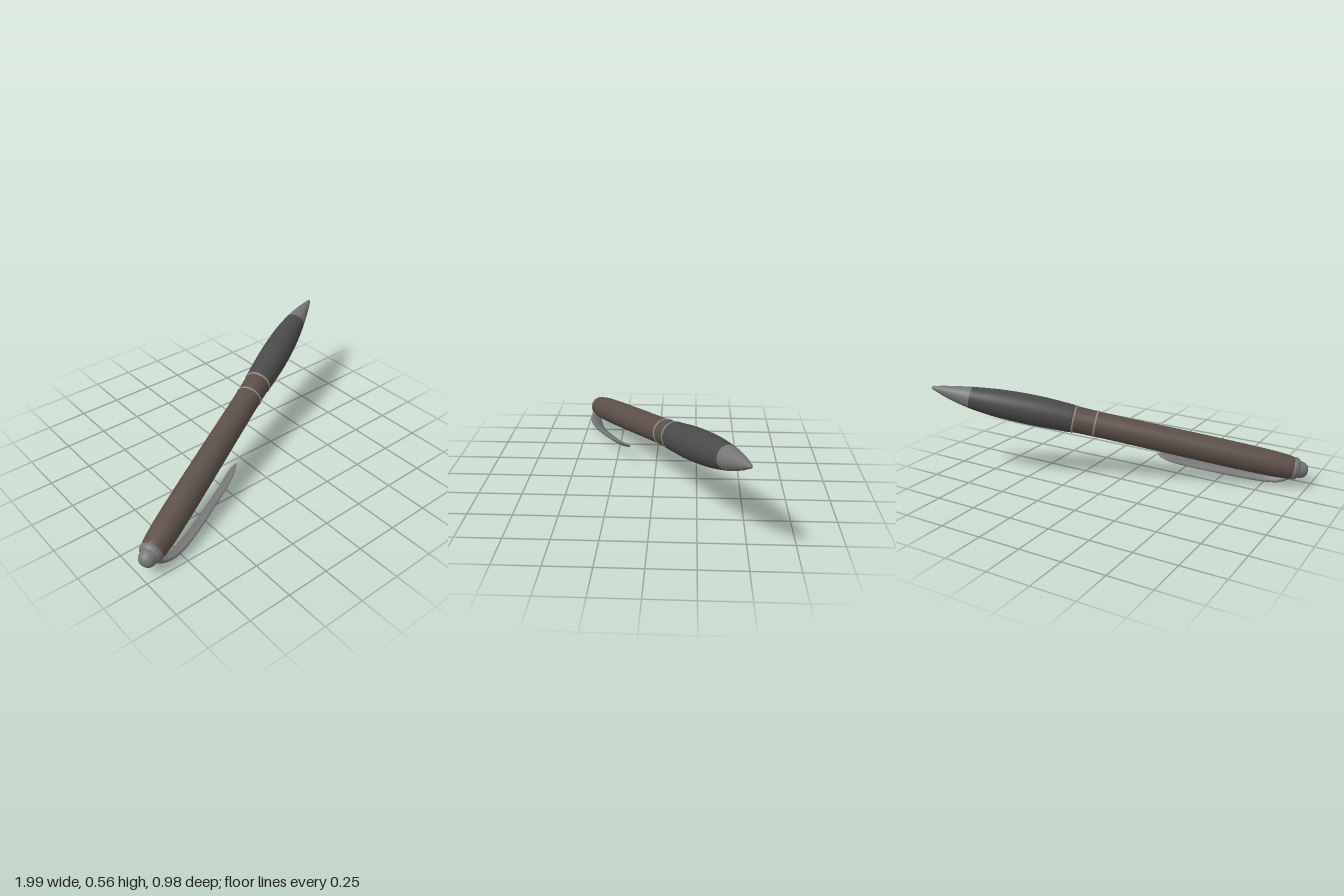
import * as THREE from 'three';
import { mergeVertices } from 'three/addons/utils/BufferGeometryUtils.js';

const brown = new THREE.MeshStandardMaterial({ color: 0x5c5048 });
const rubber = new THREE.MeshStandardMaterial({ color: 0x4a4a4a });
const metal = new THREE.MeshStandardMaterial({ color: 0x767676 });
const bright = new THREE.MeshStandardMaterial({ color: 0x8c8c8c });

// Slight sideways bow of the grip and tip
function bow(t) {
  const u = THREE.MathUtils.clamp((t - 0.28) / 0.85, 0, 1);
  return -0.011 * Math.sin(Math.PI * u * u);
}

// Smooth turned part from [radius, position along the pen] pairs
function turned(name, material, pairs, smooth = true) {
  let pts = pairs.map(([r, t]) => new THREE.Vector2(r, t));
  if (smooth) pts = new THREE.SplineCurve(pts).getPoints(pairs.length * 6);
  pts.forEach((p) => { p.x = Math.max(p.x, 0); });
  const geo = new THREE.LatheGeometry(pts, 48);
  const pos = geo.attributes.position;
  for (let i = 0; i < pos.count; i++) pos.setZ(i, pos.getZ(i) + bow(pos.getY(i)));
  const mesh = new THREE.Mesh(geo, material);
  mesh.name = name;
  return mesh;
}

// Curved clip: a tube whose oval section follows a path and narrows to the ends
function makeClip() {
  const path = new THREE.CatmullRomCurve3([
    [0.045, -1.045], [0.085, -1.01], [0.122, -0.93], [0.145, -0.8],
    [0.16, -0.6], [0.168, -0.42], [0.16, -0.255],
  ].map(([x, y]) => new THREE.Vector3(x, y, 0)));
  const geo = new THREE.CylinderGeometry(1, 1, 1, 28, 48);
  geo.deleteAttribute('uv');
  geo.deleteAttribute('normal');
  const pos = geo.attributes.position;
  for (let i = 0; i < pos.count; i++) {
    const v = pos.getY(i) + 0.5;
    const u = (1 - Math.cos(Math.PI * v)) / 2;
    const p = path.getPointAt(u);
    const tan = path.getTangentAt(u);
    const tip = Math.sqrt(Math.max(0.0004, 1 - Math.max(0, (u - 0.86) / 0.14) ** 2));
    const root = 0.6 + 0.4 * THREE.MathUtils.smoothstep(u, 0, 0.14);
    const wide = THREE.MathUtils.lerp(0.05, 0.031, u) * tip * root;
    const thick = THREE.MathUtils.lerp(0.019, 0.010, u) * tip;
    const a = pos.getX(i) * thick;
    pos.setXYZ(i, p.x + tan.y * a, p.y - tan.x * a, pos.getZ(i) * wide);
  }
  const merged = mergeVertices(geo, 1e-5);
  merged.computeVertexNormals();
  const mesh = new THREE.Mesh(merged, metal);
  mesh.name = 'clip';
  return mesh;
}

function makeRing(name, t, radius) {
  const geo = new THREE.TorusGeometry(radius, 0.006, 10, 48);
  geo.rotateX(Math.PI / 2);
  const ring = new THREE.Mesh(geo, bright);
  ring.name = name;
  ring.position.y = t;
  return ring;
}

export function createModel() {
  const model = new THREE.Group();
  model.name = 'pen';

  // Pen built along local y, with the clip on local +x
  const pen = new THREE.Group();
  pen.name = 'penAssembly';
  pen.add(
    turned('barrel', brown, [
      [0.058, -1.035], [0.067, -1.015], [0.073, -0.95], [0.0765, -0.85],
      [0.078, -0.65], [0.077, -0.3], [0.075, 0], [0.0755, 0.15], [0.078, 0.28],
    ]),
    turned('grip', rubber, [
      [0.076, 0.278], [0.081, 0.284], [0.085, 0.36], [0.089, 0.48],
      [0.088, 0.6], [0.081, 0.74], [0.064, 0.885],
    ]),
    turned('tip', metal, [
      [0.064, 0.885], [0.05, 0.96], [0.032, 1.04], [0.015, 1.1],
      [0.010, 1.118], [0, 1.124],
    ]),
    // Collar and domed push button
    turned('collar', metal, [
      [0.05, -1.062], [0.06, -1.055], [0.066, -1.038], [0.064, -1.024], [0.05, -1.018],
    ]),
    turned('pushButton', metal, [
      [0, -1.117], [0.022, -1.114], [0.039, -1.102], [0.048, -1.08], [0.052, -1.05],
    ]),
    makeRing('rearRing', 0.145, 0.0735),
    makeRing('frontRing', 0.272, 0.077),
    makeClip(),
  );

  // Tilt into the resting pose
  const along = new THREE.Vector3(0.885, 0.203, -0.419).normalize();
  const out = new THREE.Vector3(0.385, -0.82, 0.42);
  out.addScaledVector(along, -out.dot(along)).normalize();
  const side = new THREE.Vector3().crossVectors(out, along);
  pen.quaternion.setFromRotationMatrix(new THREE.Matrix4().makeBasis(out, along, side));
  pen.position.set(0, 0.329, -0.016);
  model.add(pen);

  // Settle on the ground and centre
  model.updateMatrixWorld(true);
  const box = new THREE.Box3().setFromObject(model, true);
  const mid = box.getCenter(new THREE.Vector3());
  pen.position.sub(new THREE.Vector3(mid.x, box.min.y, mid.z));
  return model;
}
